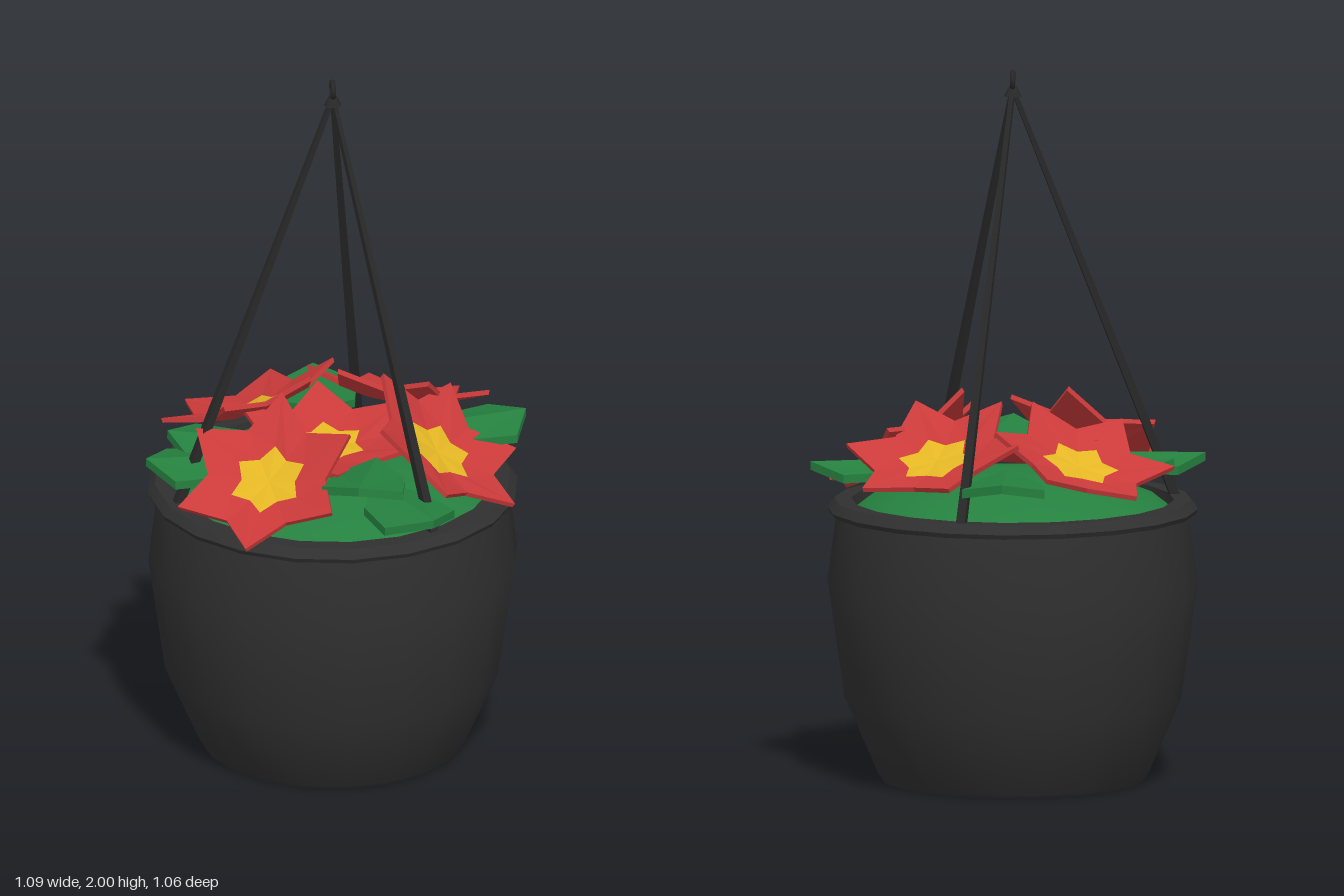
import * as THREE from 'three';
import { toCreasedNormals } from 'three/addons/utils/BufferGeometryUtils.js';

const mat = (name, color, extra = {}) => {
  const m = new THREE.MeshStandardMaterial({ color, ...extra });
  m.name = name;
  return m;
};

// Flat-shaded geometry from a list of triangles, each of three points
function facets(triangles) {
  const g = new THREE.BufferGeometry().setFromPoints(triangles.flat());
  g.computeVertexNormals();
  return g;
}

// Star-shaped ring: odd points are notches, even points are tips
function starRing(tipR, tipY, notchR, notchY) {
  return Array.from({ length: 12 }, (_, i) => {
    const a = (i * Math.PI) / 6;
    const r = i % 2 ? notchR : tipR;
    return new THREE.Vector3(r * Math.cos(a), i % 2 ? notchY : tipY, r * Math.sin(a));
  });
}

const lower = (p, t) => p.clone().setY(p.y - t);

function flowerGeometries() {
  const centre = new THREE.Vector3(0, 0, 0);
  const inner = starRing(0.11, 0.012, 0.078, 0.005);
  const outer = starRing(0.26, 0.058, 0.172, 0.026);
  const t = 0.014;
  const eye = [], petals = [];
  for (let i = 0; i < 12; i++) {
    const j = (i + 1) % 12;
    const [a, b, c, d] = [inner[i], inner[j], outer[i], outer[j]];
    const [la, lb, lc, ld] = [a, b, c, d].map((p) => lower(p, t));
    eye.push([centre, b, a]);
    // upper face, underside and rim
    petals.push([a, b, c], [b, d, c], [la, lc, lb], [lb, lc, ld]);
    petals.push([c, d, lc], [d, ld, lc], [lower(centre, t), la, lb]);
  }
  return { eye: facets(eye), petals: facets(petals) };
}

// Six-cornered leaf folded along its midrib, tip towards +z
function leafGeometry() {
  const half = [[0, 0.15], [0.115, 0.08], [0.095, -0.06], [0, -0.15]];
  const t = 0.024;
  const tris = [];
  for (const s of [1, -1]) {
    const top = half.map(([x, z]) => new THREE.Vector3(s * x, x ? -0.012 : 0.012, z));
    const bottom = top.map((p) => lower(p, t));
    const add = (a, b, c) => tris.push(s > 0 ? [a, b, c] : [a, c, b]);
    for (let i = 1; i < 3; i++) {
      add(top[0], top[i], top[i + 1]);
      add(bottom[0], bottom[i + 1], bottom[i]);
    }
    for (let i = 0; i < 3; i++) {
      add(top[i], bottom[i], top[i + 1]);
      add(top[i + 1], bottom[i], bottom[i + 1]);
    }
  }
  return facets(tris);
}

const lathe = (points, sides) =>
  toCreasedNormals(new THREE.LatheGeometry(points.map(([x, y]) => new THREE.Vector2(x, y)), sides), 0.6);

const UP = new THREE.Vector3(0, 1, 0);

export function createModel() {
  const root = new THREE.Group();
  root.name = 'hangingFlowerPot';
  const black = mat('potBlack', 0x303030);
  const strapBlack = mat('strapBlack', 0x282828);
  const green = mat('leafGreen', 0x25803f, { side: THREE.DoubleSide });
  const red = mat('petalRed', 0xcb3a3a);
  const yellow = mat('centreYellow', 0xe3b624);

  const add = (name, geometry, material, parent = root) => {
    const mesh = new THREE.Mesh(geometry, material);
    mesh.name = name;
    parent.add(mesh);
    return mesh;
  };

  // Pot with recessed base, rolled rim and inner wall
  const cx = -0.012;
  const pot = add('pot', lathe([
    [0, 0.025], [0.31, 0.025], [0.325, 0], [0.365, 0], [0.375, 0.012], [0.47, 0.23], [0.517, 0.56],
    [0.492, 0.75], [0.512, 0.752], [0.518, 0.765], [0.498, 0.79], [0.45, 0.79], [0.44, 0.7],
  ], 20), black);
  pot.position.x = cx;

  // Foliage mound filling the pot
  const mound = add('foliageMound', lathe([
    [0.445, 0.76], [0.4, 0.795], [0.3, 0.835], [0.16, 0.865], [0, 0.875],
  ], 20), green);
  mound.position.x = cx;

  // Flowers: centre, facing direction, spin in degrees
  const flowerGeo = flowerGeometries();
  [
    [[-0.21, 0.915, -0.22], [-0.3, 1, -0.33], 49],
    [[0.19, 0.925, -0.22], [0.2, 1, -0.42], 19],
    [[-0.03, 0.9, 0.03], [0, 1, 0.12], 30],
    [[0.27, 0.9, 0.11], [0.68, 1, 0.32], 33],
    [[-0.22, 0.9, 0.26], [-0.36, 1, 0.6], 52],
  ].forEach(([pos, normal, spin], i) => {
    const flower = new THREE.Group();
    flower.name = `flower${i + 1}`;
    flower.position.set(...pos);
    flower.quaternion.setFromUnitVectors(UP, new THREE.Vector3(...normal).normalize());
    flower.rotateY(-THREE.MathUtils.degToRad(spin));
    add('petals', flowerGeo.petals, red, flower);
    add('flowerCentre', flowerGeo.eye, yellow, flower);
    root.add(flower);
  });

  // Leaves: centre, horizontal direction of the tip, upward pitch
  const leafGeo = leafGeometry();
  [
    [[-0.01, 0.895, -0.375], [0, -1], 0],
    [[0.4, 0.9, -0.1], [0.95, -0.25], 0],
    [[-0.395, 0.9, 0.09], [-1, 0], 0],
    [[-0.32, 0.9, -0.05], [-1, -0.2], 0.05],
    [[0.05, 0.93, 0.325], [-0.27, 0.95], 0.12],
    [[0.145, 0.875, 0.4], [0.42, 0.85], -0.04],
  ].forEach(([pos, [dx, dz], pitch], i) => {
    const leaf = add(`leaf${i + 1}`, leafGeo, green);
    leaf.position.set(...pos);
    leaf.rotation.set(-pitch, Math.atan2(dx, dz), 0, 'YXZ');
  });

  // Three tapered straps from the hook to the rim
  const apex = new THREE.Vector3(cx, 1.945, 0);
  [[-0.46, 0.12], [0.225, 0.4], [0.108, -0.455]].forEach(([x, z], i) => {
    const foot = new THREE.Vector3(x, 0.78, z);
    const dir = apex.clone().sub(foot);
    const g = new THREE.CylinderGeometry(0.009, 0.018, dir.length(), 4).toNonIndexed();
    g.rotateY(Math.PI / 4 + Math.atan2(x, z));
    g.computeVertexNormals();
    const strap = add(`strap${i + 1}`, g, strapBlack);
    strap.position.copy(foot).addScaledVector(dir, 0.5);
    strap.quaternion.setFromUnitVectors(UP, dir.normalize());
  });

  // Hook: ring over a small flared collar
  const ring = add('hookRing', new THREE.TorusGeometry(0.021, 0.008, 6, 12), strapBlack);
  ring.position.set(cx, 1.971, 0);
  ring.rotation.y = Math.PI / 2;
  const collar = add('hookCollar', new THREE.CylinderGeometry(0.009, 0.025, 0.03, 8), strapBlack);
  collar.position.set(cx, 1.94, 0);

  return root;
}
